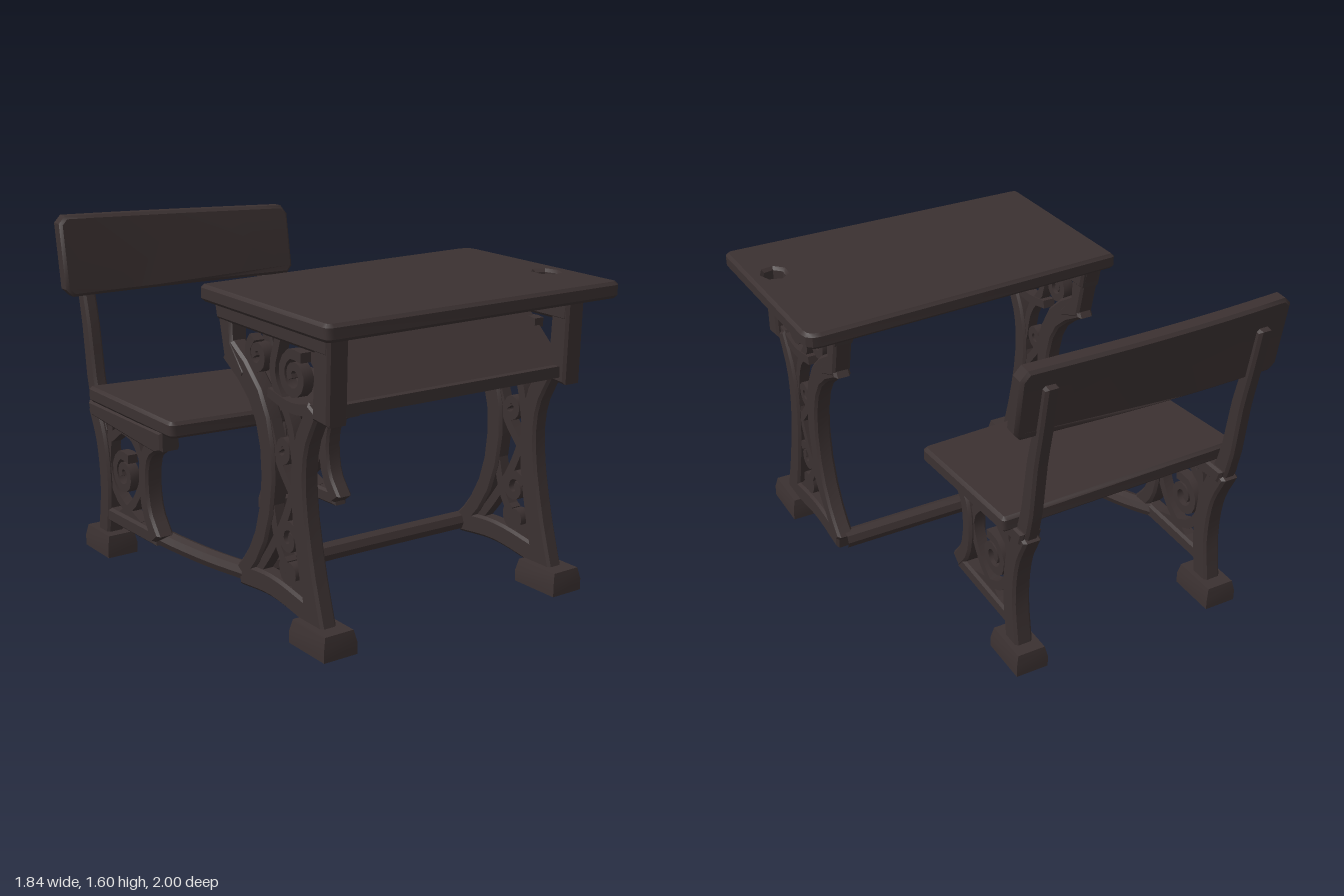
import * as THREE from 'three';
import { toCreasedNormals } from 'three/addons/utils/BufferGeometryUtils.js';

const darkWood = new THREE.MeshStandardMaterial({ color: 0x3b3131 });
darkWood.name = 'darkWood';

function add(parent, name, geometry) {
  const mesh = new THREE.Mesh(toCreasedNormals(geometry, 0.6), darkWood);
  mesh.name = name;
  parent.add(mesh);
}

// Moves every vertex by a rule
function warp(geometry, rule) {
  const p = geometry.attributes.position;
  const v = new THREE.Vector3();
  for (let i = 0; i < p.count; i++) {
    v.fromBufferAttribute(p, i);
    rule(v);
    p.setXYZ(i, v.x, v.y, v.z);
  }
  return geometry;
}

// Polygon with each [x, y, r] corner rounded by r
function roundedShape(corners) {
  const shape = new THREE.Shape();
  const pts = corners.map(([x, y]) => new THREE.Vector2(x, y));
  pts.forEach((p, i) => {
    const toward = (q) => p.clone().add(q.clone().sub(p).setLength(corners[i][2]));
    const a = toward(pts[(i + pts.length - 1) % pts.length]);
    const b = toward(pts[(i + 1) % pts.length]);
    if (i === 0) shape.moveTo(a.x, a.y); else shape.lineTo(a.x, a.y);
    shape.quadraticCurveTo(p.x, p.y, b.x, b.y);
  });
  shape.closePath();
  return shape;
}

function extrude(shape, depth, bevel) {
  const g = new THREE.ExtrudeGeometry(shape, {
    depth: depth - 2 * bevel, curveSegments: 3, bevelEnabled: bevel > 0,
    bevelSize: bevel, bevelOffset: -bevel, bevelThickness: bevel, bevelSegments: 1,
  });
  return g.translate(0, 0, bevel);
}

// Horizontal board from [x, z, r] corners, its underside at y, then tilted by slopes
function board(corners, y, thick, slopeX, slopeZ, hole) {
  const shape = roundedShape(corners.map(([x, z, r]) => [x, -z, r]));
  if (hole) {
    const h = new THREE.Path();
    for (let i = 0; i <= 7; i++) {
      const a = -i / 7 * Math.PI * 2;
      const x = hole[0] + hole[2] * Math.cos(a), v = -hole[1] + hole[2] * 1.15 * Math.sin(a);
      if (i) h.lineTo(x, v); else h.moveTo(x, v);
    }
    shape.holes.push(h);
  }
  const g = extrude(shape, thick, 0.014).rotateX(-Math.PI / 2).translate(0, y, 0);
  return warp(g, (v) => { v.y += slopeX * v.x + slopeZ * v.z; });
}

// Flat cast bar following [z, y] points, w0..w1 wide, depth across x
function strip(pts, w0, w1, depth, bevel = 0.012, steps = 10) {
  const curve = new THREE.CatmullRomCurve3(pts.map(([z, y]) => new THREE.Vector3(z, y, 0)));
  const left = [], right = [];
  for (let i = 0; i <= steps; i++) {
    const t = i / steps;
    const p = curve.getPoint(t), d = curve.getTangent(t), w = (w0 + (w1 - w0) * t) / 2;
    left.push(new THREE.Vector2(p.x - d.y * w, p.y + d.x * w));
    right.unshift(new THREE.Vector2(p.x + d.y * w, p.y - d.x * w));
  }
  const shape = new THREE.Shape(left.concat(right));
  return extrude(shape, depth, bevel).translate(0, 0, -depth / 2).rotateY(-Math.PI / 2);
}

// Solid plate from [z, y] corners
function plate(corners, depth) {
  const shape = new THREE.Shape(corners.map(([z, y]) => new THREE.Vector2(z, y)));
  return extrude(shape, depth, 0.012).translate(0, 0, -depth / 2).rotateY(-Math.PI / 2);
}

// Spiral scroll centred at z, y
function scroll(z, y, r, turns, start) {
  const pts = [];
  const n = Math.round(turns * 7);
  for (let i = 0; i <= n; i++) {
    const a = start + i / 7 * Math.PI * 2, q = r * (1 - 0.75 * i / n);
    pts.push([z + q * Math.cos(a), y + q * Math.sin(a)]);
  }
  return strip(pts, 0.042, 0.034, 0.05, 0, n * 2);
}

// Thin openwork bar
const strut = (pts) => strip(pts, 0.042, 0.042, 0.05, 0);

// Block foot, narrower on top
function foot(z, width, length) {
  const g = new THREE.BoxGeometry(width, 0.105, length, 1, 2, 1).translate(0, 0.0625, 0);
  return warp(g, (v) => {
    if (v.y > 0.1) { v.x *= 0.85; v.z *= 0.92; }
  }).translate(0, 0, z);
}

function deskFrame(name, x, dz) {
  const f = new THREE.Group();
  f.name = name;
  add(f, 'deskFoot', foot(0.78, 0.165, 0.25));
  add(f, 'frontLeg', strip([[0.775, 0.08], [0.70, 0.35], [0.65, 0.65], [0.67, 0.85], [0.76, 1.02]], 0.12, 0.085, 0.078));
  add(f, 'rearLeg', strip([[0.12, 1.15], [0.31, 1.02], [0.405, 0.86], [0.43, 0.65], [0.385, 0.42], [0.29, 0.25], [0.2, 0.16]], 0.12, 0.08, 0.078));
  add(f, 'footBar', strip([[0.2, 0.16], [0.45, 0.18], [0.75, 0.14]], 0.1, 0.1, 0.078));
  add(f, 'topRail', plate([[0.07, 1.27], [0.88, 1.25], [0.89, 1.35], [0.05, 1.37]], 0.105));
  add(f, 'frontPlate', plate([[0.77, 0.98], [0.88, 0.97], [0.89, 1.345], [0.79, 1.345]], 0.1));
  add(f, 'rearBracket', plate([[0.05, 1.36], [0.11, 1.1], [0.25, 1.04], [0.27, 1.07], [0.17, 1.18], [0.16, 1.36]], 0.085));
  add(f, 'lowerRail', strip([[0.8, 1.02], [0.6, 0.99], [0.43, 1.02]], 0.05, 0.04, 0.06, 0));
  // Openwork
  add(f, 'largeScroll', scroll(0.61, 1.12, 0.1, 1.4, 1));
  add(f, 'smallScroll', scroll(0.34, 1.16, 0.075, 1.3, 2));
  add(f, 'middleScroll', scroll(0.525, 0.8, 0.06, 1.2, 3));
  add(f, 'lowerScroll', scroll(0.565, 0.42, 0.07, 1.2, 0.5));
  add(f, 'footScroll', scroll(0.57, 0.28, 0.06, 1.1, 2));
  [[[0.5, 1.26], [0.46, 1.1], [0.58, 0.92], [0.62, 0.75]],
    [[0.43, 0.9], [0.5, 0.74], [0.6, 0.62]],
    [[0.62, 0.68], [0.54, 0.5], [0.42, 0.32], [0.32, 0.2]],
    [[0.44, 0.55], [0.5, 0.36], [0.66, 0.18]],
  ].forEach((p) => add(f, 'deskStrut', strut(p)));
  f.position.set(x, 0, dz);
  f.rotation.y = 0.055;
  return f;
}

function seatFrame(name, x, dz, lift) {
  const f = new THREE.Group();
  f.name = name;
  add(f, 'seatFoot', foot(-0.747, 0.155, 0.235));
  add(f, 'rearPost', strip([[-0.75, 0.08], [-0.715, 0.34], [-0.74, 0.56], [-0.81, 0.72]], 0.1, 0.1, 0.085));
  add(f, 'backPost', strip([[-0.75, 0.6], [-0.825, 0.8], [-0.87, 1.1], [-0.915, 1.3], [-0.955, 1.5]], 0.1, 0.055, 0.065));
  add(f, 'frontCurve', strip([[-0.18, 0.69], [-0.3, 0.61], [-0.335, 0.48], [-0.31, 0.32], [-0.23, 0.21]], 0.08, 0.08, 0.085));
  add(f, 'seatRail', plate([[-0.14, 0.65], [-0.2, 0.63], [-0.82, 0.67], [-0.84, 0.74], [-0.14, 0.72 + lift]], 0.1));
  add(f, 'lowerRail', plate([[-0.24, 0.18], [-0.76, 0.17], [-0.76, 0.24], [-0.26, 0.25]], 0.08));
  // Openwork
  add(f, 'seatScroll', scroll(-0.55, 0.44, 0.1, 1.4, 1));
  [[[-0.36, 0.55], [-0.45, 0.64], [-0.56, 0.66]],
    [[-0.73, 0.56], [-0.65, 0.6], [-0.56, 0.66]],
    [[-0.42, 0.65], [-0.36, 0.5], [-0.44, 0.34], [-0.6, 0.22]],
    [[-0.66, 0.66], [-0.69, 0.46], [-0.62, 0.32], [-0.4, 0.23]],
  ].forEach((p) => add(f, 'seatStrut', strut(p)));
  f.position.set(x, 0, dz);
  f.rotation.y = 0.06;
  return f;
}

function tube(points, r) {
  const curve = new THREE.CatmullRomCurve3(points.map((p) => new THREE.Vector3(...p)));
  return new THREE.TubeGeometry(curve, 8, r, 8);
}

export function createModel() {
  const model = new THREE.Group();
  model.name = 'schoolDesk';

  // Writing top with inkwell hole
  add(model, 'deskTop', board(
    [[-0.635, 0.998, 0.035], [0.92, 0.903, 0.035], [0.865, -0.1, 0.07], [-0.687, 0.075, 0.02]],
    1.352, 0.073, 0.002, -0.025, [0.783, 0.572, 0.052]));
  model.add(deskFrame('leftDeskFrame', 0.65, -0.015), deskFrame('rightDeskFrame', -0.575, 0.025));

  // Sloping book tray between the desk frames
  const tray = new THREE.Group();
  tray.name = 'bookTray';
  add(tray, 'trayPanel', new THREE.BoxGeometry(1.2, 0.025, 0.3).rotateX(0.74).translate(0, 1.14, 0.715));
  add(tray, 'trayLip', new THREE.BoxGeometry(1.2, 0.05, 0.05).translate(0, 1.025, 0.84));
  tray.position.x = 0.06;
  tray.rotation.y = 0.045;
  model.add(tray);

  // Seat and its frames
  add(model, 'seat', board(
    [[-0.785, -0.036, 0.03], [0.37, -0.103, 0.03], [0.303, -0.798, 0.02], [-0.866, -0.742, 0.02]],
    0.7, 0.075, -0.03, -0.04));
  model.add(seatFrame('leftSeatFrame', 0.25, -0.02, -0.01), seatFrame('rightSeatFrame', -0.74, 0.02, 0.02));

  // Curved, leaning backrest
  const edge = [];
  for (let i = 0; i <= 8; i++) edge.push(-0.89 + 1.18 * i / 8);
  const outline = [[-0.925, 1.28], ...edge.map((x) => [x, 1.245]), [0.32, 1.28], [0.32, 1.54],
    ...edge.map((x) => [x, 1.59 - 0.027 * x]).reverse(), [-0.925, 1.58]];
  const back = extrude(new THREE.Shape(outline.map((p) => new THREE.Vector2(...p))), 0.085, 0.014);
  warp(back.translate(0, 0, -0.0425), (v) => {
    v.z += -0.915 - 0.18 * (v.y - 1.42) + (v.x < 0 ? 0.06 : 0) * v.x * v.x;
  });
  add(model, 'backrest', back);

  // Floor rails
  add(model, 'crossBar', tube([[-0.57, 0.165, 0.24], [0.05, 0.165, 0.21], [0.66, 0.16, 0.18]], 0.045));
  add(model, 'sideRail', tube([[-0.565, 0.165, 0.24], [-0.63, 0.17, 0.04], [-0.7, 0.19, -0.16], [-0.755, 0.215, -0.3]], 0.042));
  return model;
}
